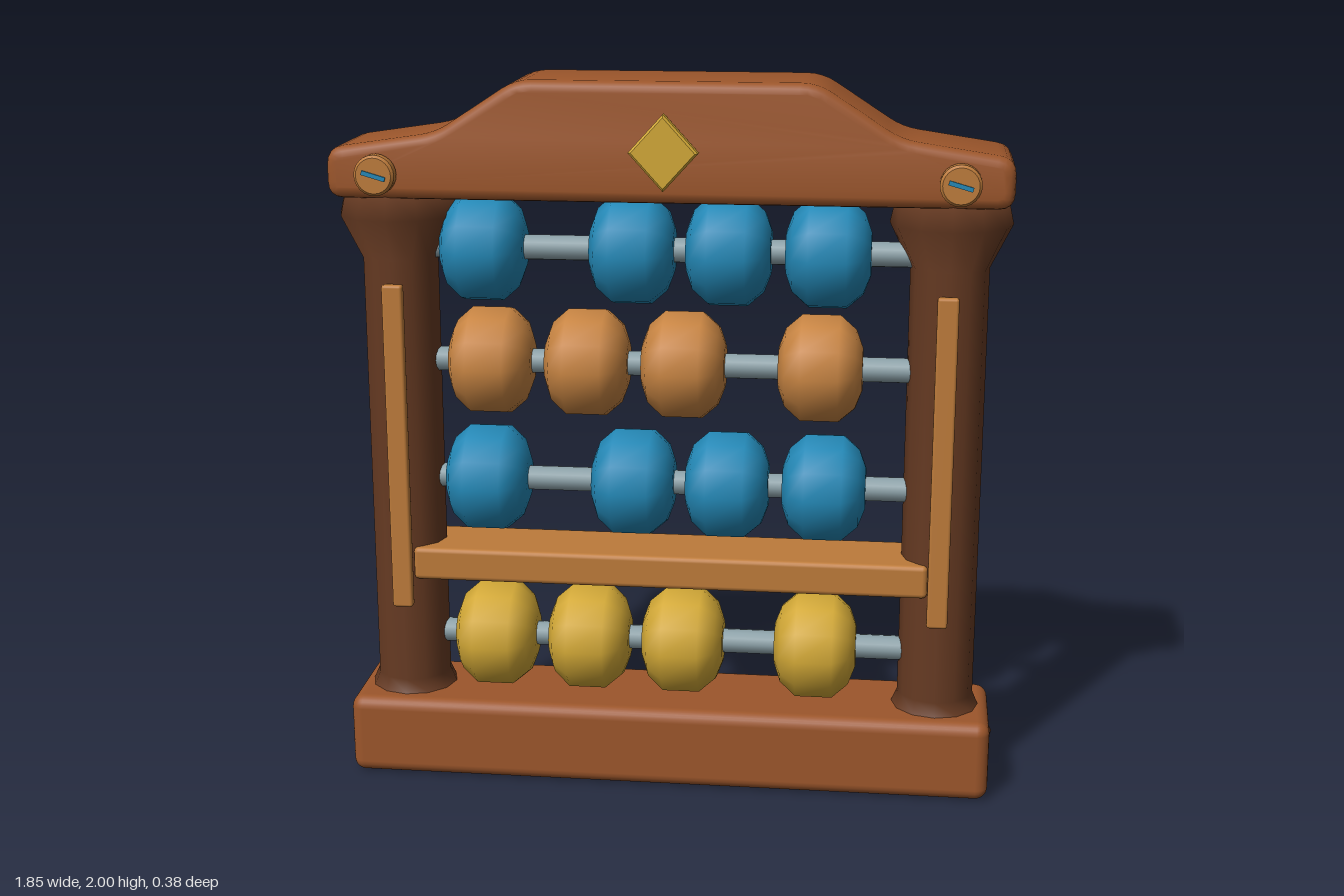
import * as THREE from 'three';
import { toCreasedNormals } from 'three/addons/utils/BufferGeometryUtils.js';
import { RoundedBoxGeometry } from 'three/addons/geometries/RoundedBoxGeometry.js';

const MID_Z = -0.018; // depth centre of the frame

function material(name, color) {
  const m = new THREE.MeshStandardMaterial({ color });
  m.name = name;
  return m;
}

// Closed outline with each corner softened by radius r
function roundedShape(points, r) {
  const pts = points.map(([x, y]) => new THREE.Vector2(x, y));
  const shape = new THREE.Shape();
  pts.forEach((p, i) => {
    const prev = pts[(i + pts.length - 1) % pts.length];
    const next = pts[(i + 1) % pts.length];
    const a = p.clone().add(prev.clone().sub(p).setLength(r));
    const b = p.clone().add(next.clone().sub(p).setLength(r));
    if (i === 0) shape.moveTo(a.x, a.y);
    else shape.lineTo(a.x, a.y);
    shape.quadraticCurveTo(p.x, p.y, b.x, b.y);
  });
  shape.closePath();
  return shape;
}

// Bevelled slab centred on z = 0, keeping the outline size
function slab(shape, depth, bevel, bevelSegments) {
  const geo = new THREE.ExtrudeGeometry(shape, {
    depth: depth - 2 * bevel, bevelThickness: bevel, bevelSize: bevel,
    bevelOffset: -bevel, bevelSegments, curveSegments: 4,
  });
  geo.translate(0, 0, bevel - depth / 2);
  return toCreasedNormals(geo, 0.6);
}

function lathe(profile, segments) {
  return new THREE.LatheGeometry(profile.map(([r, y]) => new THREE.Vector2(r, y)), segments);
}

export function createModel() {
  const group = new THREE.Group();
  const wood = material('warm brown wood', 0x9c562b);
  const darkWood = material('dark brown wood', 0x663a22);
  const lightWood = material('light wood', 0xbd7b3a);
  const amber = material('orange bead', 0xc78442);
  const gold = material('gold', 0xd2a836);
  const blue = material('blue', 0x2388b6);
  const steel = material('grey steel', 0x8a9fa6);

  const add = (name, geo, mat, x, y, z) => {
    const mesh = new THREE.Mesh(geo, mat);
    mesh.name = name;
    mesh.position.set(x, y, z);
    group.add(mesh);
    return mesh;
  };

  // Base and stepped top beam
  add('base', new RoundedBoxGeometry(1.83, 0.232, 0.338, 3, 0.035), wood, 0, 0.116, MID_Z);
  const half = [[0.92, 1.68], [0.92, 1.815], [0.62, 1.86], [0.4, 2.003]];
  const outline = [...half, ...half.map(([x, y]) => [-x, y]).reverse()];
  add('topBeam', slab(roundedShape(outline, 0.045), 0.326, 0.028, 3), wood, 0, 0, MID_Z);

  // Turned posts with flared foot and capital, and their front strips
  const post = lathe([
    [0, 0.05], [0.14, 0.06], [0.166, 0.15], [0.122, 0.235], [0.107, 0.27],
    [0.107, 1.5], [0.166, 1.62], [0.148, 1.7], [0, 1.7],
  ], 12);
  const strip = new RoundedBoxGeometry(0.058, 0.935, 0.03, 2, 0.008);
  const stud = lathe([[0, -0.018], [0.055, -0.018], [0.055, 0.01], [0.048, 0.017], [0, 0.017]], 24);
  stud.rotateX(Math.PI / 2);
  const studGeo = toCreasedNormals(stud, 0.6);
  for (const side of [-1, 1]) {
    add('post', post, darkWood, side * 0.76, 0, MID_Z);
    add('postStrip', strip, lightWood, side * 0.757, 0.972, 0.105);
    add('screw', studGeo, lightWood, side * 0.777, 1.75, 0.17);
    const slot = add('screwSlot', new THREE.BoxGeometry(0.066, 0.012, 0.008), blue, side * 0.777, 1.75, 0.188);
    slot.rotation.z = -0.28;
  }

  // Divider bar
  add('dividerBar', new RoundedBoxGeometry(1.455, 0.095, 0.224, 2, 0.014), lightWood, 0, 0.628, MID_Z);

  // Diamond ornament
  const diamond = new THREE.Shape([[0.093, 0], [0, 0.102], [-0.093, 0], [0, -0.102]]
    .map(([x, y]) => new THREE.Vector2(x, y)));
  add('diamond', slab(diamond, 0.036, 0.006, 1), gold, 0, 1.822, 0.17);

  // Rods with sliding beads
  const rod = new THREE.CylinderGeometry(0.035, 0.035, 1.36, 12);
  rod.rotateZ(Math.PI / 2);
  const bead = lathe([
    [0, -0.116], [0.06, -0.116], [0.112, -0.097], [0.152, -0.052],
    [0.152, 0.052], [0.112, 0.097], [0.06, 0.116], [0, 0.116],
  ], 12);
  bead.rotateZ(Math.PI / 2);
  const spread = [-0.522, -0.106, 0.16, 0.432];
  const bunched = [-0.506, -0.235, 0.036, 0.416];
  const rows = [[1.53, blue, spread], [1.207, amber, bunched], [0.864, blue, spread], [0.392, gold, bunched]];
  for (const [y, mat, xs] of rows) {
    add('rod', rod, steel, 0, y, MID_Z);
    for (const x of xs) add('bead', bead, mat, x, y, MID_Z);
  }
  return group;
}
